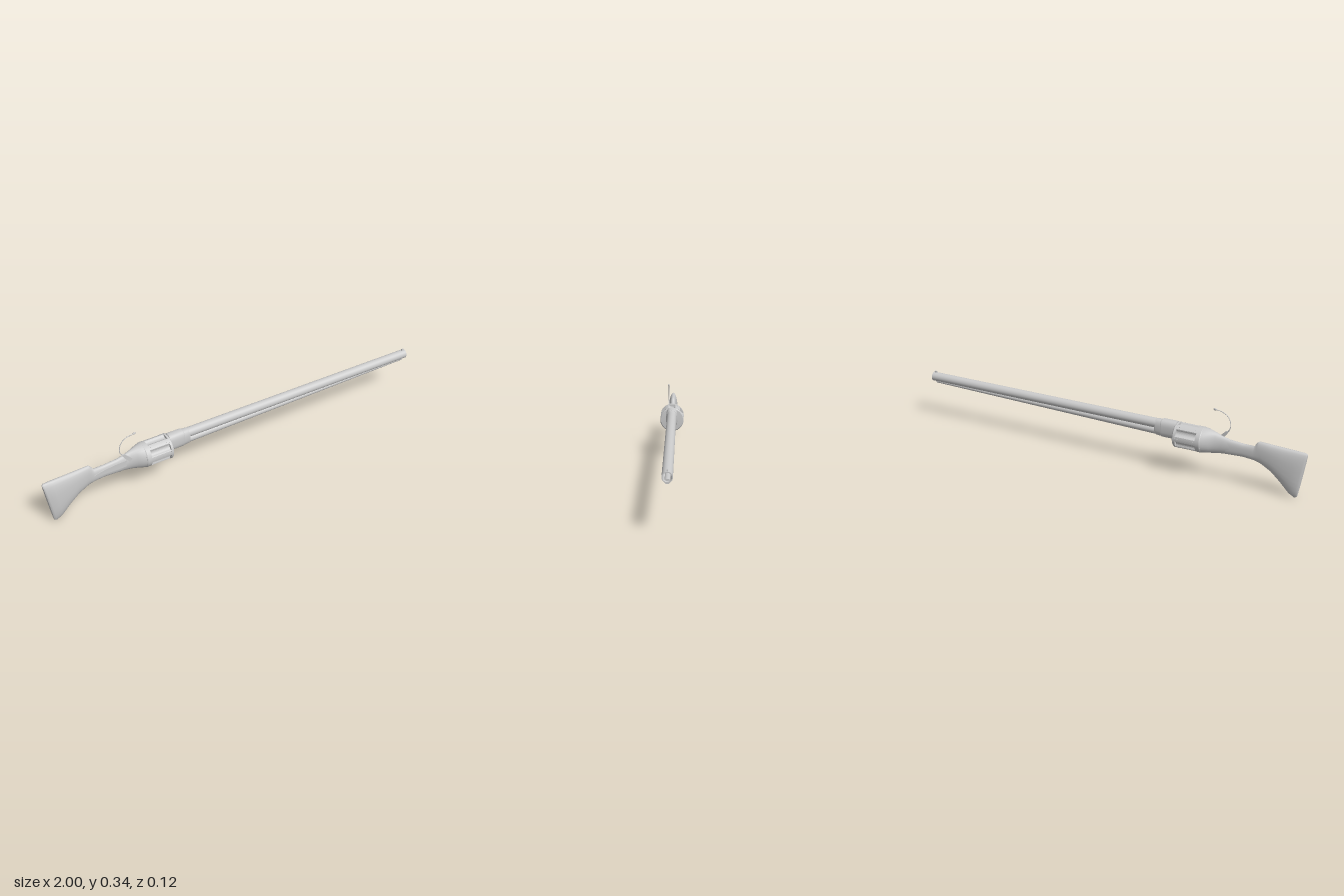
import * as THREE from 'three';

const material = new THREE.MeshStandardMaterial({ color: 0xcccccc, side: THREE.DoubleSide });
const AXIS_Y = 0.187; // height of the revolving drum's axis

function add(group, name, geometry, x = 0, y = 0, z = 0) {
  const mesh = new THREE.Mesh(geometry, material);
  mesh.name = name;
  mesh.position.set(x, y, z);
  group.add(mesh);
  return mesh;
}

// Skin oval sections [xTop, yTop, xBottom, yBottom, halfWidth] running along +x
function loft(sections, squareness = 0.85, n = 28) {
  const pos = [], index = [];
  const soften = (v) => Math.sign(v) * Math.abs(v) ** squareness;
  const ring = ([xt, yt, xb, yb, hw]) => {
    for (let i = 0; i < n; i++) {
      const a = (i / n) * Math.PI * 2;
      const k = (1 - soften(Math.cos(a))) / 2;
      pos.push(xt + (xb - xt) * k, yt + (yb - yt) * k, hw * soften(Math.sin(a)));
    }
  };
  sections.forEach(ring);
  for (let j = 0; j < sections.length - 1; j++) {
    for (let i = 0; i < n; i++) {
      const a = j * n + i, b = j * n + (i + 1) % n;
      index.push(a, b, a + n, b, b + n, a + n);
    }
  }
  // End caps keep their own vertices so the rims stay sharp
  [sections[0], sections[sections.length - 1]].forEach((s, end) => {
    const start = pos.length / 3;
    ring(s);
    pos.push((s[0] + s[2]) / 2, (s[1] + s[3]) / 2, 0);
    for (let i = 0; i < n; i++) {
      const a = start + i, b = start + (i + 1) % n;
      index.push(start + n, end ? a : b, end ? b : a);
    }
  });
  const g = new THREE.BufferGeometry();
  g.setAttribute('position', new THREE.Float32BufferAttribute(pos, 3));
  g.setIndex(index);
  g.computeVertexNormals();
  return g;
}

// Lathe of [x, radius] points about the x axis, each span shaded on its own
function turned(group, name, points, y, sides = 40) {
  for (let i = 0; i < points.length - 1; i++) {
    const span = [points[i], points[i + 1]].map(([x, r]) => new THREE.Vector2(r, x));
    add(group, name, new THREE.LatheGeometry(span, sides).rotateZ(-Math.PI / 2), 0, y, 0);
  }
}

function createStock(model) {
  // Butt, comb step and slim wrist
  add(model, 'stock', loft([
    [-0.998, 0.220, -0.963, 0.006, 0.013],
    [-0.992, 0.226, -0.952, 0.002, 0.021],
    [-0.95, 0.228, -0.925, 0.018, 0.025],
    [-0.89, 0.230, -0.880, 0.065, 0.024],
    [-0.83, 0.233, -0.835, 0.105, 0.021],
    [-0.775, 0.236, -0.790, 0.130, 0.017],
    [-0.765, 0.228, -0.775, 0.136, 0.016],
    [-0.752, 0.208, -0.750, 0.142, 0.015],
    [-0.70, 0.209, -0.70, 0.146, 0.014],
    [-0.62, 0.216, -0.62, 0.142, 0.016],
  ]));
  // Receiver flaring out to meet the drum
  add(model, 'receiver', loft([
    [-0.64, 0.215, -0.64, 0.143, 0.0155],
    [-0.60, 0.224, -0.60, 0.140, 0.018],
    [-0.57, 0.236, -0.57, 0.136, 0.024],
    [-0.545, 0.243, -0.545, 0.132, 0.037],
    [-0.525, 0.246, -0.525, 0.129, 0.050],
    [-0.508, 0.247, -0.508, 0.127, 0.057],
  ], 1));
}

function createLock(model) {
  // Long side plate, on the near side only
  const plate = new THREE.Shape();
  plate.moveTo(-0.76, 0.180);
  plate.quadraticCurveTo(-0.70, 0.202, -0.585, 0.203);
  plate.lineTo(-0.545, 0.186);
  plate.lineTo(-0.565, 0.172);
  plate.quadraticCurveTo(-0.68, 0.165, -0.76, 0.180);
  add(model, 'lockPlate', new THREE.ExtrudeGeometry(plate,
    { depth: 0.007, bevelEnabled: false, curveSegments: 8 }), 0, 0, 0.011);

  // Hammer: tapered foot, slim curved arm and spur
  const foot = new THREE.Shape();
  foot.moveTo(-0.622, 0.246);
  foot.lineTo(-0.606, 0.242);
  foot.lineTo(-0.555, 0.192);
  foot.lineTo(-0.575, 0.184);
  foot.lineTo(-0.607, 0.222);
  add(model, 'hammerFoot', new THREE.ExtrudeGeometry(foot,
    { depth: 0.007, bevelEnabled: false }), 0, 0, 0.0155);
  const arc = new THREE.CatmullRomCurve3([
    [-0.612, 0.236], [-0.627, 0.262], [-0.626, 0.29], [-0.613, 0.316], [-0.585, 0.333], [-0.548, 0.339],
  ].map(([x, y]) => new THREE.Vector3(x, y, 0.019)));
  add(model, 'hammerArm', new THREE.TubeGeometry(arc, 32, 0.002, 8));
  add(model, 'hammerSpur', new THREE.SphereGeometry(0.004, 12, 8).scale(2, 1.3, 0.9), -0.55, 0.339, 0.019);
}

function createDrum(model) {
  const drum = new THREE.Group();
  drum.name = 'drum';
  model.add(drum);
  const chambers = 6, steps = 20;
  // Fluted body
  const outline = [];
  for (let i = 0; i < chambers * steps; i++) {
    const a = (i / (chambers * steps)) * Math.PI * 2;
    const u = ((i % steps) / steps - 0.5) / 0.26;
    const r = 0.059 - 0.012 * Math.sqrt(Math.max(0, 1 - u * u));
    outline.push(new THREE.Vector2(Math.cos(a) * r, Math.sin(a) * r));
  }
  add(drum, 'flutedBody', new THREE.ExtrudeGeometry(new THREE.Shape(outline),
    { depth: 0.11, bevelEnabled: false }).rotateY(Math.PI / 2), -0.492, AXIS_Y, 0);
  // Full rims at both ends
  turned(drum, 'rearRim', [[-0.512, 0.002], [-0.512, 0.057], [-0.508, 0.06], [-0.488, 0.06], [-0.488, 0.002]], AXIS_Y);
  turned(drum, 'frontRim', [[-0.388, 0.002], [-0.388, 0.06], [-0.378, 0.06], [-0.374, 0.056], [-0.37, 0.002]], AXIS_Y);
  // Small studs on the lands between flutes
  for (let i = 0; i < chambers; i++) {
    const a = (i / chambers) * Math.PI * 2;
    for (const x of [-0.475, -0.40]) {
      const stud = add(drum, 'stud', new THREE.CylinderGeometry(0.0035, 0.0035, 0.004, 10),
        x, AXIS_Y + Math.sin(a) * 0.058, -Math.cos(a) * 0.058);
      stud.rotation.x = Math.atan2(-Math.cos(a), Math.sin(a));
    }
  }
}

function createBarrel(model) {
  // Frame and collar joining barrel to drum
  add(model, 'barrelFrame', loft([
    [-0.376, 0.250, -0.376, 0.163, 0.029], [-0.304, 0.250, -0.304, 0.163, 0.029],
    [-0.299, 0.247, -0.299, 0.166, 0.026],
  ], 0.75));
  add(model, 'barrelCollar', loft([
    [-0.302, 0.247, -0.302, 0.164, 0.026], [-0.274, 0.246, -0.274, 0.166, 0.025],
    [-0.268, 0.244, -0.268, 0.170, 0.022],
  ], 0.8));
  // Open tube with a visible bore
  turned(model, 'barrel', [[-0.28, 0.023], [1, 0.0225], [1, 0.0185], [0.7, 0.0185], [0.7, 0.001]], 0.222);
  // Tapered rib and rod beneath the barrel
  add(model, 'underRod', loft([
    [-0.275, 0.205, -0.275, 0.167, 0.018], [0.98, 0.212, 0.98, 0.191, 0.013],
  ], 1));
  add(model, 'frontSight', new THREE.BoxGeometry(0.012, 0.01, 0.006), 0.988, 0.247, 0);
}

export function createModel() {
  const model = new THREE.Group();
  model.name = 'revolvingRifle';
  createStock(model);
  createLock(model);
  createDrum(model);
  createBarrel(model);
  return model;
}
